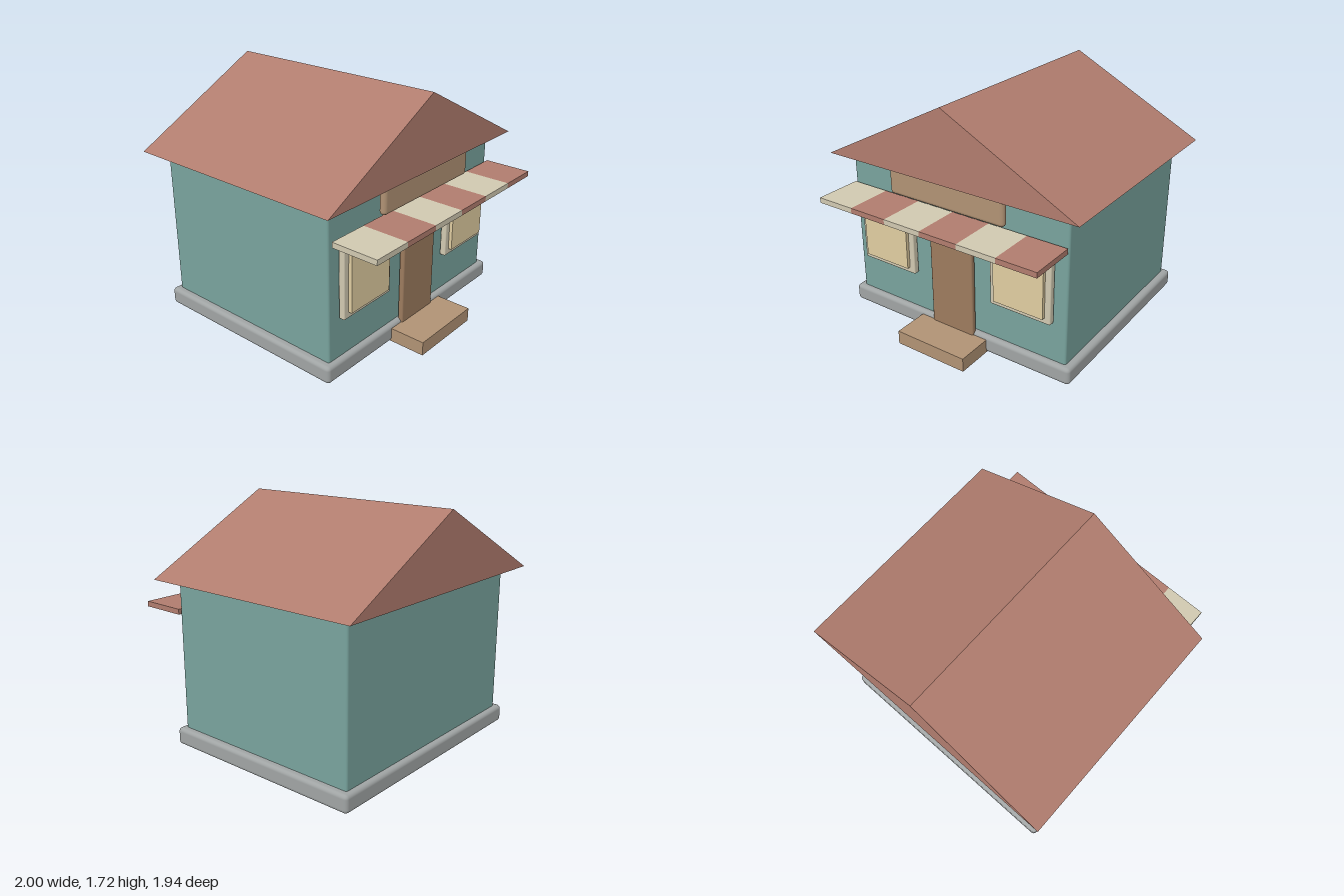
import * as THREE from 'three';
import { RoundedBoxGeometry } from 'three/addons/geometries/RoundedBoxGeometry.js';

const paint = (color, extra = {}) => new THREE.MeshStandardMaterial({ color, ...extra });
const terracotta = paint(0xb07c6e);
const cream = paint(0xd0c8b0);
const teal = paint(0x78a39d);
const stone = paint(0xa0a4a4);
const doorWood = paint(0x9c7b5e);
const lightWood = paint(0xb09274);
const glass = paint(0xdfcca0);

// Box given by its [min, max] extents; a radius rounds its edges
function block(name, material, [x0, x1], [y0, y1], [z0, z1], radius = 0) {
  const size = [x1 - x0, y1 - y0, z1 - z0];
  const geometry = radius
    ? new RoundedBoxGeometry(...size, 2, radius)
    : new THREE.BoxGeometry(...size);
  const mesh = new THREE.Mesh(geometry, material);
  mesh.name = name;
  mesh.position.set((x0 + x1) / 2, (y0 + y1) / 2, (z0 + z1) / 2);
  return mesh;
}

// Gable roof shell: two slopes and two gables, open underneath
function gableRoof(halfWidth, eaveY, ridgeY, back, front) {
  const section = z => [[-halfWidth, eaveY, z], [0, ridgeY, z], [halfWidth, eaveY, z]];
  const [bl, bt, br] = section(back);
  const [fl, ft, fr] = section(front);
  const triangles = [
    [fl, fr, ft], [br, bl, bt],
    [bl, fl, ft], [bl, ft, bt],
    [fr, br, bt], [fr, bt, ft],
  ];
  const geometry = new THREE.BufferGeometry();
  geometry.setAttribute('position', new THREE.Float32BufferAttribute(triangles.flat(2), 3));
  geometry.computeVertexNormals();
  const mesh = new THREE.Mesh(geometry, paint(0xb07c6e, { side: THREE.DoubleSide }));
  mesh.name = 'roof';
  return mesh;
}

export function createModel() {
  const shop = new THREE.Group();
  shop.name = 'shop';

  // Building shell
  shop.add(
    block('foundation', stone, [-0.93, 0.93], [0, 0.125], [-0.895, 0.65], 0.028),
    block('walls', teal, [-0.88, 0.88], [0.11, 1.2], [-0.855, 0.61], 0.016),
    gableRoof(1, 1.2, 1.72, -0.97, 0.72),
  );

  // Entrance
  shop.add(
    block('doorstep', lightWood, [-0.28, 0.28], [0, 0.1], [0.63, 0.91]),
    block('door', doorWood, [-0.175, 0.175], [0.09, 0.83], [0.62, 0.66], 0.012),
    block('signBoard', lightWood, [-0.463, 0.463], [1.025, 1.215], [0.655, 0.71], 0.027),
  );

  // Windows on both sides of the door
  for (const [side, x] of [['left', 0.555], ['right', -0.557]]) {
    const window = new THREE.Group();
    window.name = `${side}Window`;
    window.add(
      block('windowFrame', cream, [x - 0.232, x + 0.232], [0.417, 0.95], [0.615, 0.66], 0.008),
      block('windowPane', glass, [x - 0.19, x + 0.19], [0.46, 0.91], [0.64, 0.685]),
    );
    shop.add(window);
  }

  // Striped awning
  const awning = new THREE.Group();
  awning.name = 'awning';
  const stripe = 0.291;
  for (let i = 0; i < 6; i++) {
    const x = -0.866 + i * stripe;
    awning.add(block('awningStripe', i % 2 ? terracotta : cream,
      [x, x + stripe], [0.947, 0.985], [0.63, 0.97]));
  }
  shop.add(awning);

  return shop;
}
